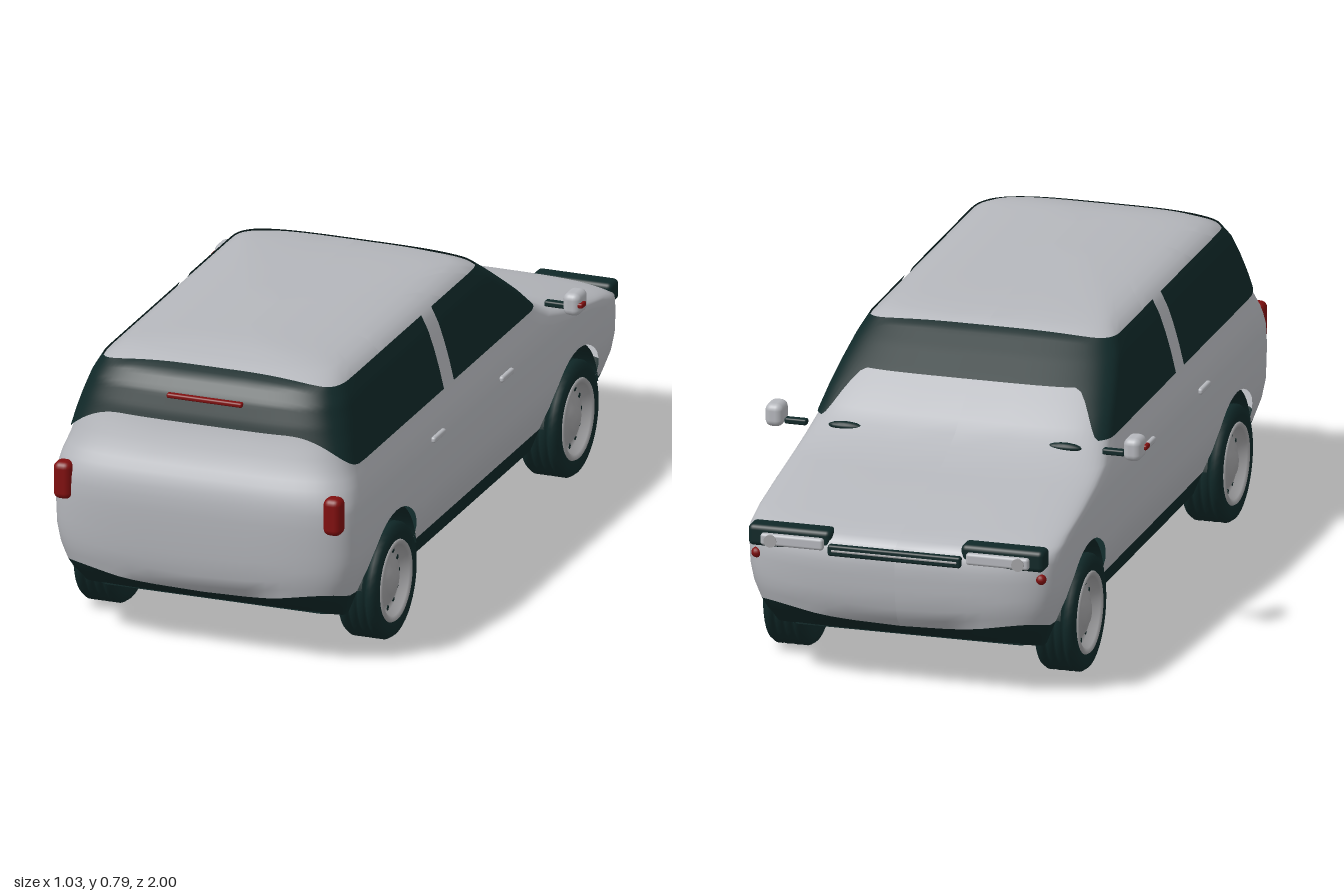
import * as THREE from 'three';
import { RoundedBoxGeometry } from 'three/addons/geometries/RoundedBoxGeometry.js';

const material = (name, color) => {
  const m = new THREE.MeshStandardMaterial({ color, side: THREE.DoubleSide });
  m.name = name;
  return m;
};
const lerp = THREE.MathUtils.lerp, smooth = THREE.MathUtils.smoothstep;

// Plan outline by height: y, half width, nose z, start and end of the straight side, tail z
const OUTLINE = [
  [0.125, 0.360, -0.860, -0.84, 0.84, 0.860], [0.19, 0.388, -0.965, -0.84, 0.84, 0.970],
  [0.25, 0.410, -0.985, -0.84, 0.84, 0.987], [0.30, 0.420, -0.990, -0.84, 0.84, 0.993],
  [0.36, 0.422, -0.993, -0.84, 0.84, 0.998], [0.40, 0.422, -0.980, -0.84, 0.84, 1.000],
  [0.425, 0.421, -0.930, -0.75, 0.84, 1.000], [0.45, 0.420, -0.820, -0.60, 0.84, 0.998],
  [0.475, 0.416, -0.700, -0.47, 0.83, 0.993], [0.50, 0.410, -0.565, -0.40, 0.82, 0.984],
  [0.545, 0.394, -0.462, -0.33, 0.80, 0.962], [0.60, 0.381, -0.393, -0.27, 0.79, 0.943],
  [0.65, 0.367, -0.326, -0.20, 0.77, 0.930], [0.70, 0.350, -0.257, -0.13, 0.75, 0.912],
  [0.74, 0.330, -0.200, -0.08, 0.72, 0.880], [0.765, 0.290, -0.145, 0.00, 0.68, 0.825],
  [0.778, 0.220, 0.020, 0.18, 0.62, 0.770], [0.787, 0.110, 0.300, 0.38, 0.58, 0.710],
  [0.79, 0, 0.400, 0.45, 0.55, 0.600],
];
function outlineAt(y) {
  let i = 1;
  while (i < OUTLINE.length - 1 && OUTLINE[i][0] < y) i++;
  const a = OUTLINE[i - 1], b = OUTLINE[i];
  const t = THREE.MathUtils.clamp((y - a[0]) / (b[0] - a[0]), 0, 1);
  return a.map((v, k) => lerp(v, b[k], t));
}

// Skin point: u runs 0-1 round the nose corner, 1-2 along the side, 2-3 round the tail corner
function skin(u, side, y) {
  const [, w, zNose, zA, zB, zTail] = outlineAt(y);
  const angle = (u < 1 ? 1 - u : Math.max(u - 2, 0)) * Math.PI / 2;
  const c = Math.sqrt(Math.max(Math.cos(angle), 0)), s = Math.sqrt(Math.sin(angle));
  if (Math.abs(u) < 1e-9 || u > 3 - 1e-9) return [0, y, u < 1 ? zNose : zTail];
  if (u < 1) return [side * w * c, y, lerp(zA, zNose, s)];
  if (u > 2) return [side * w * c, y, lerp(zB, zTail, s)];
  return [side * w, y, lerp(zA, zB, u - 1)];
}

// Surface through rows and columns of points
function grid(rows, cols, point) {
  const pos = [], index = [];
  for (let i = 0; i < rows; i++) for (let j = 0; j < cols; j++) pos.push(...point(i, j));
  for (let i = 0; i < rows - 1; i++) for (let j = 0; j < cols - 1; j++) {
    const a = i * cols + j, d = a + cols;
    index.push(a, d, a + 1, a + 1, d, d + 1);
  }
  const g = new THREE.BufferGeometry();
  g.setAttribute('position', new THREE.Float32BufferAttribute(pos, 3));
  g.setIndex(index);
  g.computeVertexNormals();
  return g;
}

const AXLE = 0.64, WHEEL_Y = 0.155, ARCH = 0.195, SILL = 0.19;

// Lower edge of the painted body, rising over the wheel arches
function bodyBottom(u) {
  const k = u < 1 ? 1 - u : u - 2;
  if (k > 0) return SILL - 0.02 * k + 0.03 * Math.sin(Math.PI * k);
  const d = Math.abs(Math.abs(lerp(-0.84, 0.84, u - 1)) - AXLE);
  return d < ARCH ? Math.max(SILL, WHEEL_Y + Math.sqrt(ARCH * ARCH - d * d)) : SILL;
}

// Columns round the whole car
function bodyColumns() {
  const us = [], a0 = Math.asin((SILL - WHEEL_Y) / ARCH);
  const addZ = z => us.push(1 + (z + 0.84) / 1.68);
  for (let i = 0; i <= 14; i++) us.push(i / 14);
  for (const c of [-AXLE, AXLE]) {
    for (let i = 0; i <= 18; i++) addZ(c - ARCH * Math.cos(lerp(a0, Math.PI - a0, i / 18)));
    if (c < 0) for (let i = 1; i < 8; i++) addZ(lerp(-0.44, 0.44, i / 8));
  }
  for (let i = 0; i <= 14; i++) us.push(2 + i / 14);
  const half = us.map(u => [u, 1]);
  return [...half, ...us.slice(0, -1).reverse().map(u => [u, -1])];
}

// Glass band wrapping from the centre pillar on one side round to the other
function glassBand(zPillar, rear, low, high) {
  const ks = [];
  for (let i = 0; i <= 8; i++) ks.push(i / 8);
  for (let i = 1; i <= 20; i++) ks.push(1 + i / 20);
  const first = rear ? 1 : -1;
  const cols = [...ks.map(k => [k, first]), ...ks.slice(0, -1).reverse().map(k => [k, -first])];
  const g = grid(15, cols.length, (i, j) => {
    const [k, s] = cols[j];
    const y = lerp(low(k), high(k), i / 14);
    const [, , , zA, zB] = outlineAt(y);
    const end = rear ? 2 : 1;
    const u = k <= 1 ? lerp(1 + (zPillar - zA) / (zB - zA), end, k) : end + (rear ? k - 1 : 1 - k);
    return skin(u, s, y);
  });
  const p = g.attributes.position, n = g.attributes.normal;
  for (let i = 0; i < p.count; i++) {
    p.setXYZ(i, p.getX(i) + n.getX(i) * 0.005, p.getY(i) + n.getY(i) * 0.005, p.getZ(i) + n.getZ(i) * 0.005);
  }
  return g;
}

export function createModel() {
  const paint = material('silver paint', 0xb5b7bc), dark = material('dark trim', 0x102828);
  const red = material('red lens', 0x800f0f), alloy = material('wheel alloy', 0xa2a2a4);
  const car = new THREE.Group();
  car.name = 'car';
  const add = (name, geometry, mat, x = 0, y = 0, z = 0, parent = car) => {
    const m = new THREE.Mesh(geometry, mat);
    m.name = name;
    m.position.set(x, y, z);
    parent.add(m);
    return m;
  };
  const pill = (w, h, d, r) => new RoundedBoxGeometry(w, h, d, 3, r);

  // Body shell and dark lower skirt
  const cols = bodyColumns();
  const upper = [];
  OUTLINE.filter(o => o[0] > 0.4).forEach((o, i, list) => {
    const prev = i ? list[i - 1][0] : 0.4;
    upper.push((prev + o[0]) / 2, o[0]);
  });
  add('bodyShell', grid(9 + upper.length, cols.length, (i, j) => {
    const [u, s] = cols[j];
    return skin(u, s, i < 9 ? lerp(bodyBottom(u), 0.4, i / 8) : upper[i - 9]);
  }), paint);
  add('lowerSkirt', grid(4, cols.length, (i, j) => {
    const [u, s] = cols[j], top = bodyBottom(u);
    const inArch = u > 1 && u < 2 && top > SILL + 0.001;
    return skin(u, s, lerp(0.125, inArch ? 0.125 : top, i / 3));
  }), dark);

  // Floor with notches for the wheels
  const right = [[0.3, -0.862], [0.355, -0.835], [0.30, -0.835], [0.30, -0.445], [0.36, -0.445],
    [0.36, 0.445], [0.30, 0.445], [0.30, 0.835], [0.355, 0.835], [0.3, 0.862]];
  const outline = [...right, ...right.map(([x, z]) => [-x, z]).reverse()];
  const floor = new THREE.ExtrudeGeometry(new THREE.Shape(outline.map(p => new THREE.Vector2(...p))),
    { depth: 0.06, bevelEnabled: false });
  floor.rotateX(Math.PI / 2);
  add('floor', floor, dark, 0, 0.184, 0);

  // Glass
  add('rearGlass', glassBand(0.25, true, k => lerp(0.545, 0.63, smooth(k, 1, 1.75)),
    k => lerp(0.738, 0.755, smooth(k, 1.2, 2))), dark);
  add('frontGlass', glassBand(0.18, false, k => lerp(0.545, 0.648, smooth(k, 1.3, 1.6)),
    k => lerp(0.738, 0.748, smooth(k, 1.2, 2))), dark);

  // Tyre and rim profiles
  const tread = [[0.1, -0.048], [0.13, -0.057], [0.147, -0.052], [0.155, -0.04]];
  for (const g of [-0.024, 0, 0.024]) {
    tread.push([0.155, g - 0.005], [0.147, g - 0.004], [0.147, g + 0.004], [0.155, g + 0.005]);
  }
  tread.push([0.155, 0.04], [0.147, 0.052], [0.13, 0.057], [0.1, 0.048]);
  const lathe = pts => new THREE.LatheGeometry(pts.map(p => new THREE.Vector2(...p)), 40);
  const tyre = lathe(tread);
  const rim = lathe([[0.1, -0.05], [0.1, 0.046], [0.11, 0.05], [0.106, 0.057], [0.094, 0.052], [0.088, 0.03],
    [0.07, 0.028], [0.06, 0.038], [0.036, 0.04], [0.03, 0.05], [0, 0.052]]);
  const slot = new THREE.CylinderGeometry(0.007, 0.007, 0.006, 10);
  const liner = new THREE.CylinderGeometry(0.196, 0.196, 0.1, 28, 1, true, 0.18, Math.PI - 0.36);
  liner.rotateZ(Math.PI / 2);

  for (const s of [1, -1]) {
    const side = s > 0 ? 'left' : 'right';
    for (const z of [-AXLE, AXLE]) {
      const wheel = new THREE.Group();
      wheel.name = side + (z < 0 ? 'BonnetWheel' : 'TailWheel');
      wheel.position.set(s * 0.367, WHEEL_Y, z);
      wheel.rotation.z = -s * Math.PI / 2;
      add('tyre', tyre, dark, 0, 0, 0, wheel);
      add('rim', rim, alloy, 0, 0, 0, wheel);
      for (let i = 0; i < 12; i++) {
        const a = i * Math.PI / 6;
        add('rimSlot', slot, dark, 0.078 * Math.cos(a), 0.027, 0.078 * Math.sin(a), wheel);
      }
      car.add(wheel);
      add(side + 'ArchLiner', liner, dark, s * 0.35, WHEEL_Y, z);
    }
    // Door handles
    for (const z of [0.35, -0.13]) add(side + 'DoorHandle', pill(0.014, 0.016, 0.08, 0.006), paint, s * 0.423, 0.455, z);
    // Mirror
    add(side + 'Mirror', pill(0.048, 0.062, 0.07, 0.018), paint, s * 0.485, 0.553, -0.455);
    add(side + 'MirrorArm', pill(0.06, 0.016, 0.022, 0.005), dark, s * 0.43, 0.537, -0.46);
    add(side + 'MirrorLamp', pill(0.02, 0.014, 0.03, 0.005), red, s * 0.507, 0.553, -0.44);
    // Cowl vent
    const vent = add(side + 'CowlVent', new THREE.SphereGeometry(1, 16, 8), dark, s * 0.297, 0.537, -0.462);
    vent.scale.set(0.046, 0.012, 0.014);
    // Lamps
    add(side + 'TailLamp', pill(0.05, 0.102, 0.05, 0.018), red, s * 0.375, 0.44, 0.963);
    add(side + 'HeadlampHousing', pill(0.225, 0.058, 0.058, 0.014), dark, s * 0.288, 0.395, -0.954);
    add(side + 'Headlamp', pill(0.17, 0.032, 0.02, 0.008), paint, s * 0.278, 0.39, -0.986);
    const lamp = add(side + 'RoundLamp', new THREE.CylinderGeometry(0.017, 0.017, 0.03, 20), alloy, s * 0.335, 0.388, -0.984);
    lamp.rotation.x = Math.PI / 2;
    add(side + 'Indicator', new THREE.SphereGeometry(0.014, 14, 10), red, s * 0.385, 0.34, -0.952);
  }

  // Grille, its bar and the high brake light
  add('grille', pill(0.36, 0.03, 0.02, 0.006), dark, 0, 0.378, -0.988);
  add('grilleBar', pill(0.34, 0.006, 0.006, 0.002), alloy, 0, 0.378, -0.997);
  add('highBrakeLight', pill(0.21, 0.013, 0.03, 0.005), red, 0, 0.694, 0.915);
  return car;
}
